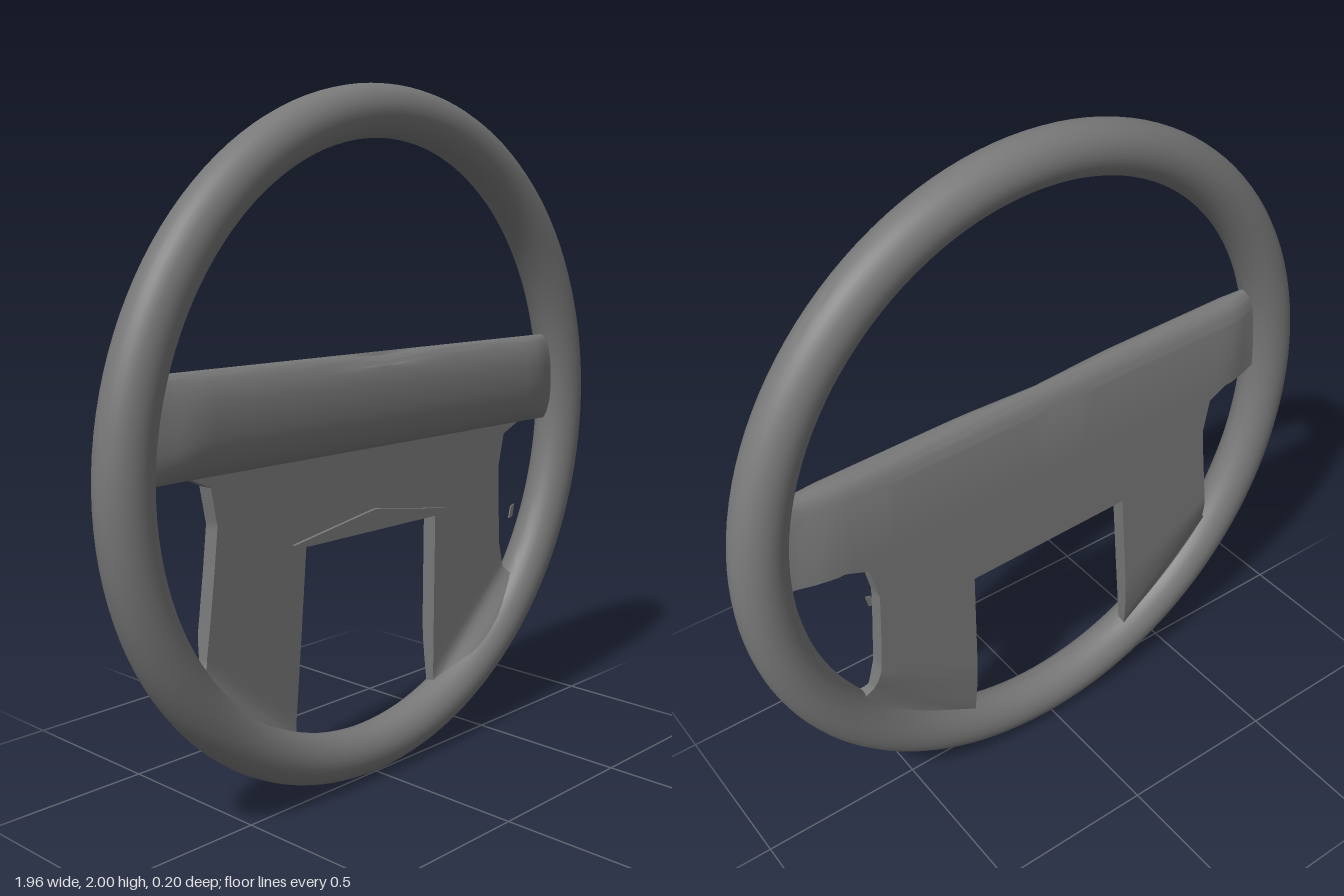
import * as THREE from 'three';
import { toCreasedNormals } from 'three/addons/utils/BufferGeometryUtils.js';

const material = new THREE.MeshStandardMaterial({ color: 0x787878, side: THREE.DoubleSide });
const { lerp, smoothstep } = THREE.MathUtils;

// Rewrite every vertex with rule(v)
function reshape(geometry, rule) {
  const p = geometry.attributes.position;
  const v = new THREE.Vector3();
  for (let i = 0; i < p.count; i++) {
    rule(v.fromBufferAttribute(p, i));
    p.setXYZ(i, v.x, v.y, v.z);
  }
  return geometry;
}

// Finish a part: common lean, small drop toward +x for the panel parts, smooth normals
function part(name, geometry, roll = 0.013) {
  reshape(geometry, (v) => {
    v.z += 0.026 * (v.y - 1) - 0.017 * v.x;
    v.y -= roll * v.x;
  });
  const mesh = new THREE.Mesh(toCreasedNormals(geometry, 0.75), material);
  mesh.name = name;
  return mesh;
}

// Depth factor that thins the panel where it runs into the rim
const thin = (x) => 1 - 0.7 * smoothstep(Math.abs(x), 0.7, 0.86);

// Plate spanned row by row between two edge lines; depth(row, x) gives [back, front]
function plate(left, right, columns, depth) {
  const last = left.length - 1;
  return reshape(new THREE.BoxGeometry(1, 1, 1, columns, last * 6, 1), (v) => {
    const row = (0.5 - v.y) * last;
    const i = Math.min(Math.floor(row), last - 1);
    const along = (edge, k) => lerp(edge[i][k], edge[i + 1][k], row - i);
    const u = v.x + 0.5;
    v.x = lerp(along(left, 0), along(right, 0), u);
    v.y = lerp(along(left, 1), along(right, 1), u);
    const [back, front] = depth(row, v.x);
    v.z = v.z < 0 ? back : front;
  });
}

function slab(points, back, front) {
  const shape = new THREE.Shape(points.map(([x, y]) => new THREE.Vector2(x, y)));
  return new THREE.ExtrudeGeometry(shape, { depth: front - back, bevelEnabled: false })
    .translate(0, 0, back);
}

export function createModel() {
  const group = new THREE.Group();

  // Rim: slightly taller than wide, with a thicker grip at the sides
  const rim = reshape(new THREE.TorusGeometry(0.926, 0.073, 32, 128), (v) => {
    const angle = Math.atan2(v.y, v.x);
    const offset = Math.hypot(v.x, v.y) - 0.926;
    v.x = Math.cos(angle) * (0.902 + offset * 1.09);
    v.y = 1 + Math.sin(angle) * (0.926 + offset);
  });
  group.add(part('rim', rim, 0));

  // Crossbar: bulging front, flat back, rounded top with a shallow dent
  const profile = new THREE.Shape();
  profile.moveTo(0.05, 0.985);
  profile.lineTo(0.05, 1.2);
  profile.splineThru([
    [0.035, 1.24], [0.005, 1.262], [-0.025, 1.25], [-0.048, 1.2],
    [-0.055, 1.13], [-0.048, 1.06], [-0.025, 1.01], [0.004, 0.985],
  ].map(([z, y]) => new THREE.Vector2(z, y)));
  profile.closePath();
  const bar = new THREE.ExtrudeGeometry(profile, {
    depth: 1.74, steps: 32, bevelEnabled: false, curveSegments: 4,
  });
  bar.rotateY(Math.PI / 2).translate(-0.87, 0, 0);
  reshape(bar, (v) => {
    if (v.y > 1.23 && v.z > 0) v.y -= 0.012 * Math.max(0, 1 - Math.abs(v.x) / 0.25);
    v.z *= thin(v.x);
  });
  group.add(part('crossbar', bar));

  // Centre panel below the crossbar, flaring into its underside
  const panel = plate(
    [[-0.69, 0.988], [-0.622, 0.955], [-0.6, 0.85], [-0.61, 0.74]],
    [[0.69, 0.988], [0.612, 0.955], [0.59, 0.85], [0.597, 0.74]],
    24,
    (row, x) => [-0.05 * thin(x), -0.004],
  );
  group.add(part('centrePanel', panel));

  // Legs: the front ramps up and the back thins out where they meet the rim
  const legDepth = (row) => [
    lerp(-0.05, -0.02, smoothstep(row, 1.2, 2.6)),
    lerp(-0.004, 0.05, smoothstep(row, 1.9, 3)),
  ];
  const rightLeg = plate(
    [[-0.61, 0.74], [-0.625, 0.6], [-0.64, 0.48], [-0.7, 0.42]],
    [[-0.275, 0.74], [-0.293, 0.45], [-0.31, 0.2], [-0.32, 0.13]],
    12, legDepth,
  );
  const leftLeg = plate(
    [[0.28, 0.74], [0.286, 0.45], [0.292, 0.2], [0.3, 0.13]],
    [[0.597, 0.74], [0.61, 0.59], [0.633, 0.51], [0.7, 0.44]],
    12, legDepth,
  );
  group.add(part('rightLeg', rightLeg), part('leftLeg', leftLeg));

  // Low pointed lip above the window
  const lip = slab([[-0.33, 0.753], [-0.275, 0.741], [0.28, 0.741], [0.32, 0.757], [0, 0.805]], -0.03, 0.006);
  group.add(part('windowLip', lip));

  // Small tag standing just ahead of the left leg
  const tag = slab([[0.545, 0.7], [0.562, 0.705], [0.57, 0.743], [0.553, 0.738]], 0.076, 0.08);
  group.add(part('tag', tag));

  return group;
}
